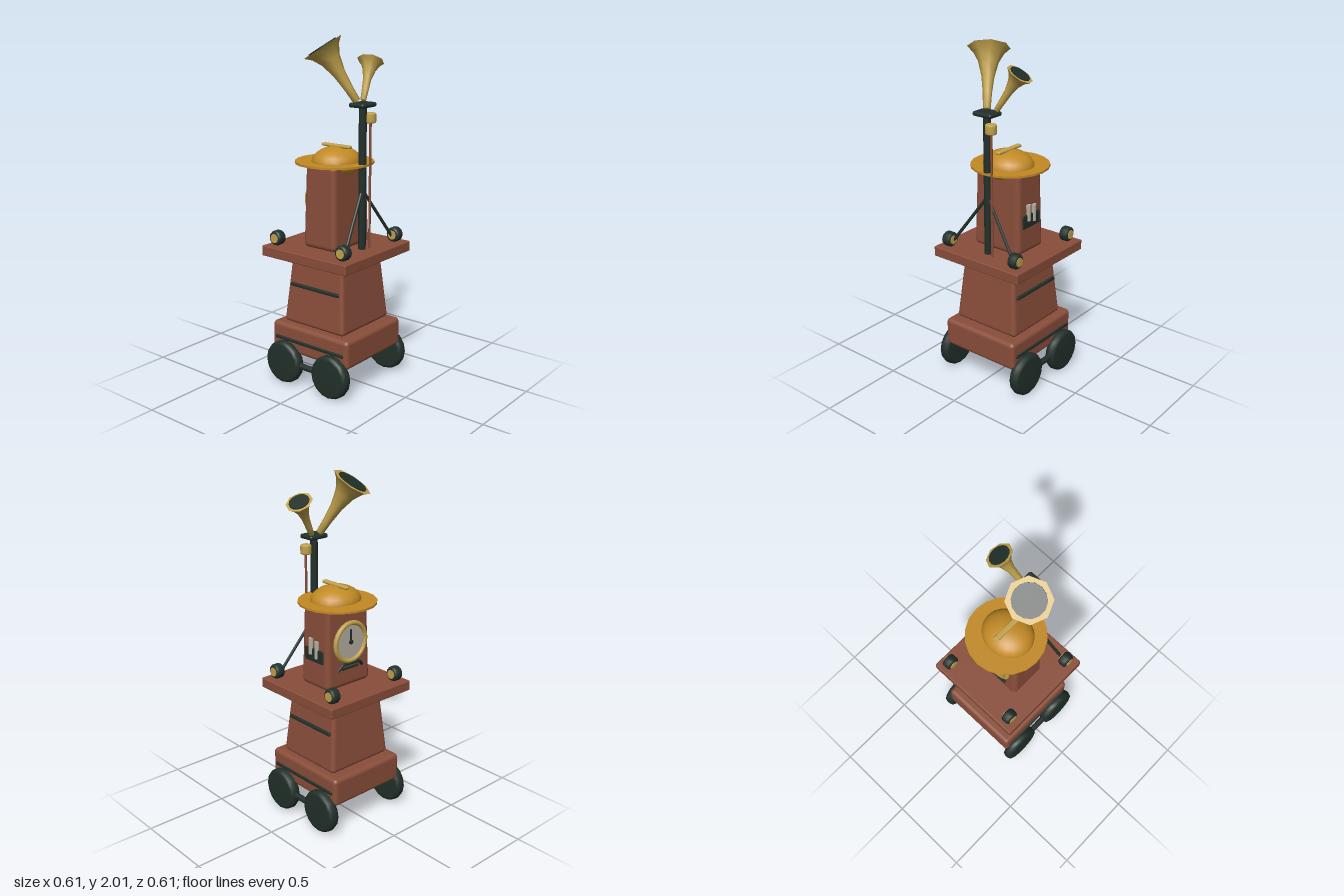
import * as THREE from 'three';
import { RoundedBoxGeometry } from 'three/addons/geometries/RoundedBoxGeometry.js';

const mat = (name, color) => {
  const m = new THREE.MeshStandardMaterial({ color });
  m.name = name;
  return m;
};

export function createModel() {
  const model = new THREE.Group();
  model.name = 'wheeledHornTower';

  const brick = mat('brick red', 0x8a4e3a);
  const dark = mat('dark green', 0x22302a);
  const gold = mat('dome gold', 0xc28a24);
  const brass = mat('pale brass', 0xc2a24c);
  const cream = mat('dial cream', 0xb4ae9f);

  const add = (name, geo, material, x = 0, y = 0, z = 0, parent = model) => {
    const mesh = new THREE.Mesh(geo, material);
    mesh.name = name;
    mesh.position.set(x, y, z);
    parent.add(mesh);
    return mesh;
  };
  const box = (w, h, d, r) => new RoundedBoxGeometry(w, h, d, 3, r);

  // Rounded box that narrows towards its top
  const taperedBox = (w, h, d, r, topX, topZ) => {
    const geo = box(w, h, d, r);
    const p = geo.attributes.position;
    for (let i = 0; i < p.count; i++) {
      const t = p.getY(i) / h + 0.5;
      p.setX(i, p.getX(i) * (1 + (topX - 1) * t));
      p.setZ(i, p.getZ(i) * (1 + (topZ - 1) * t));
    }
    geo.computeVertexNormals();
    return geo;
  };

  // Straight round bar between two points
  const bar = (name, a, b, r, material, sides = 8) => {
    const from = new THREE.Vector3(...a), to = new THREE.Vector3(...b);
    const dir = to.clone().sub(from);
    const mesh = add(name, new THREE.CylinderGeometry(r, r, dir.length(), sides), material);
    mesh.position.copy(from).add(to).multiplyScalar(0.5);
    mesh.quaternion.setFromUnitVectors(new THREE.Vector3(0, 1, 0), dir.normalize());
    return mesh;
  };

  // Tyre with rounded shoulders, axle along x
  const tyreGeometry = (r, w, bevel, sides) => {
    const h = w / 2;
    const profile = [
      [0, -h], [r - bevel, -h], [r - bevel * 0.3, -h + bevel * 0.3], [r, -h + bevel],
      [r, h - bevel], [r - bevel * 0.3, h - bevel * 0.3], [r - bevel, h], [0, h],
    ].map(([x, y]) => new THREE.Vector2(x, y));
    return new THREE.LatheGeometry(profile, sides).rotateZ(Math.PI / 2);
  };

  // Body
  add('chassis', box(0.51, 0.17, 0.56, 0.025), brick, 0, 0.27, 0);
  add('lowerBody', taperedBox(0.44, 0.4, 0.44, 0.025, 0.82, 0.84), brick, 0, 0.557, 0);
  add('platform', box(0.61, 0.06, 0.61, 0.006), brick, 0, 0.79, 0);
  add('tower', taperedBox(0.33, 0.49, 0.234, 0.03, 0.92, 0.89), brick, 0, 1.06, 0);

  // Drive wheels, their links and side strips
  const wheelGeo = tyreGeometry(0.127, 0.065, 0.022, 16);
  for (const s of [-1, 1]) {
    for (const z of [-0.172, 0.172]) add('driveWheel', wheelGeo, dark, s * 0.268, 0.127, z);
    bar('wheelLink', [s * 0.268, 0.13, -0.17], [s * 0.268, 0.13, 0.17], 0.018, dark);
    add('chassisStrip', box(0.014, 0.02, 0.5, 0.005), dark, s * 0.256, 0.265, 0);
    add('bodyStrip', box(0.02, 0.02, 0.35, 0.006), dark, s * 0.2, 0.59, 0);
  }

  // Small wheels on the platform corners
  const casterGeo = tyreGeometry(0.044, 0.056, 0.014, 14);
  const hubGeo = new THREE.CylinderGeometry(0.027, 0.027, 0.064, 10).rotateZ(Math.PI / 2);
  for (const x of [-0.24, 0.24]) {
    for (const z of [-0.24, 0.24]) {
      add('smallWheel', casterGeo, dark, x, 0.864, z);
      add('smallHub', hubGeo, brass, x, 0.864, z);
    }
  }

  // Domed hat with brim and top handle
  add('brim', new THREE.CylinderGeometry(0.225, 0.225, 0.012, 20), gold, 0, 1.3, -0.015);
  const dome = add('dome', new THREE.SphereGeometry(1, 20, 14), gold, 0, 1.3, 0);
  dome.scale.set(0.153, 0.09, 0.137);
  add('domeHandle', box(0.032, 0.018, 0.2, 0.008), brass, 0, 1.391, 0);

  // Mast, braces, pipe and lamp
  bar('mast', [0, 0.82, 0.183], [0, 1.63, 0.183], 0.022, dark, 10);
  add('mastPlate', box(0.128, 0.026, 0.102, 0.012), dark, 0, 1.636, 0.182);
  for (const s of [-1, 1]) bar('mastBrace', [s * 0.01, 1.15, 0.185], [s * 0.215, 0.86, 0.234], 0.009, dark);
  bar('pipe', [0.045, 0.82, 0.202], [0.045, 1.55, 0.202], 0.007, brick);
  add('lamp', tyreGeometry(0.033, 0.056, 0.008, 12).rotateZ(Math.PI / 2), brass, 0.043, 1.562, 0.202);

  // Flared horns with dark mouths
  const horn = (name, base, mouth, baseR, mouthR, discR) => {
    const from = new THREE.Vector3(...base);
    const dir = new THREE.Vector3(...mouth).sub(from);
    const len = dir.length();
    const group = new THREE.Group();
    group.name = name;
    group.position.copy(from);
    group.quaternion.setFromUnitVectors(new THREE.Vector3(0, 1, 0), dir.normalize());
    model.add(group);
    const profile = [
      [0, 0], [baseR, 0], [baseR * 1.2, len * 0.25], [mouthR * 0.3, len * 0.52],
      [mouthR * 0.48, len * 0.76], [mouthR * 0.72, len * 0.91], [mouthR, len],
    ].map(([x, y]) => new THREE.Vector2(x, y));
    add('hornBell', new THREE.LatheGeometry(profile, 8), brass, 0, 0, 0, group);
    add('hornRim', new THREE.CircleGeometry(mouthR, 8).rotateX(-Math.PI / 2).rotateY(Math.PI / 2), brass, 0, len, 0, group);
    add('hornMouth', new THREE.CylinderGeometry(discR, discR, 0.006, 14), dark, 0, len + 0.002, 0, group);
  };
  horn('largeHorn', [-0.022, 1.655, 0.158], [-0.13, 1.944, 0.008], 0.021, 0.118, 0.088);
  horn('smallHorn', [0.042, 1.655, 0.153], [0.164, 1.858, 0.11], 0.016, 0.077, 0.058);

  // Dial on the back
  const dial = new THREE.Group();
  dial.name = 'dial';
  dial.position.set(0, 1.085, -0.112);
  model.add(dial);
  const disc = (r, h, n) => new THREE.CylinderGeometry(r, r, h, n).rotateX(Math.PI / 2);
  add('dialFace', disc(0.108, 0.026, 24), cream, 0, 0, 0, dial);
  add('dialRing', new THREE.TorusGeometry(0.112, 0.014, 8, 24), brass, 0, 0, -0.012, dial);
  add('dialHand', box(0.014, 0.075, 0.006, 0.002), dark, 0, 0.038, -0.016, dial);
  add('dialPin', disc(0.013, 0.012, 10), dark, 0, 0, -0.016, dial);

  // Bracket beneath the dial
  bar('bracketTop', [-0.06, 0.96, -0.13], [0.06, 0.96, -0.13], 0.009, dark);
  bar('bracketBar', [-0.06, 0.932, -0.122], [0.06, 0.932, -0.122], 0.008, dark);
  for (const s of [-1, 1]) bar('bracketLeg', [s * 0.058, 0.963, -0.13], [s * 0.092, 0.928, -0.122], 0.009, dark);

  // Gauge tubes on the left side of the tower
  add('gaugePlate', box(0.02, 0.078, 0.15, 0.005), dark, 0.158, 1.01, 0);
  add('gaugeTube', new THREE.CylinderGeometry(0.015, 0.015, 0.095, 10), cream, 0.162, 1.06, 0.026);
  add('gaugeTube', new THREE.CylinderGeometry(0.015, 0.015, 0.1, 10), cream, 0.162, 1.048, -0.023);

  return model;
}
